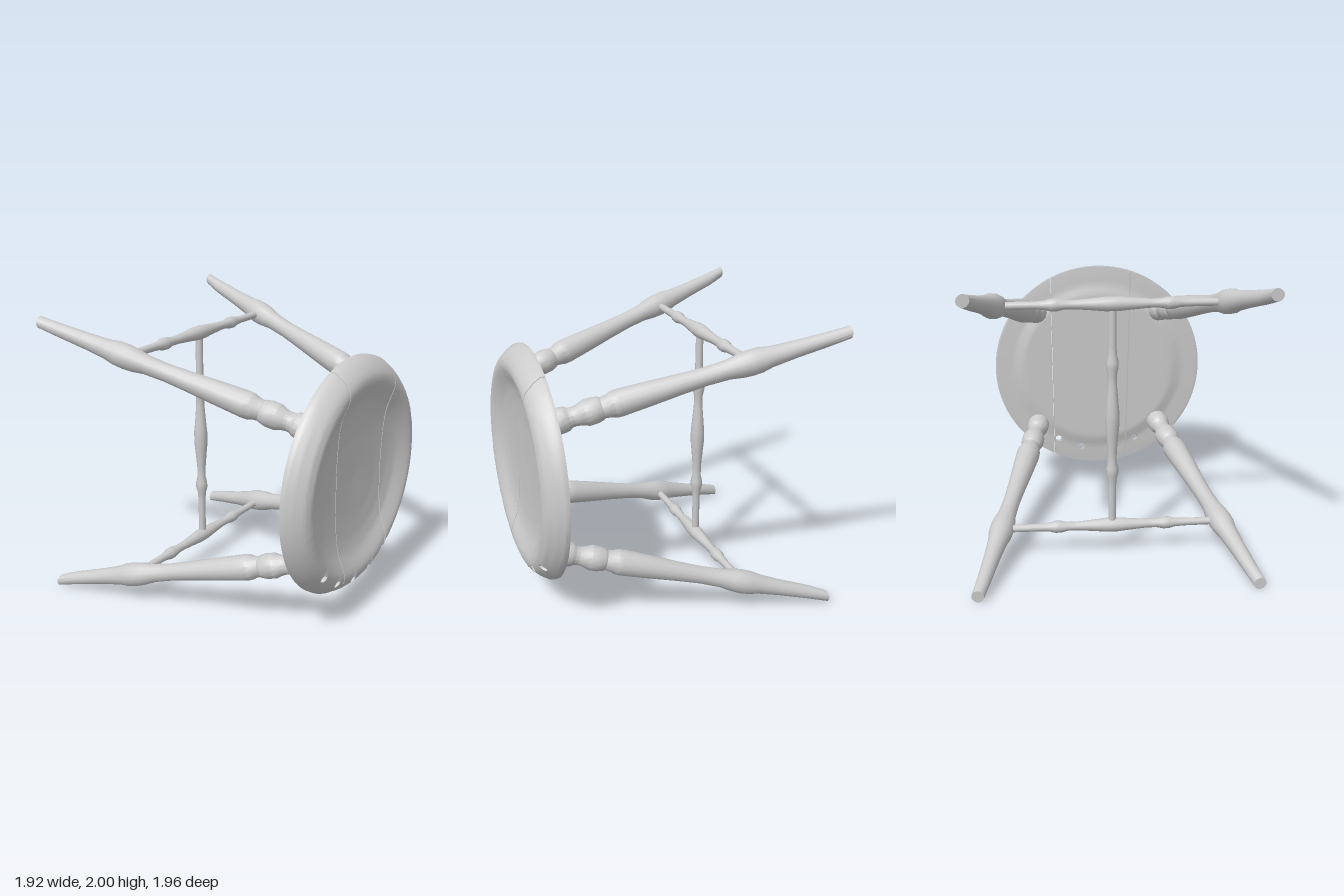
import * as THREE from 'three';
import { toCreasedNormals } from 'three/addons/utils/BufferGeometryUtils.js';

const material = new THREE.MeshStandardMaterial({ color: 0xcccccc });
const R = 0.81; // seat radius

// seat surfaces: [radius, z]
const FRONT = [[0, 0.888], [0.3, 0.895], [0.44, 0.906], [0.53, 0.924], [0.61, 0.96], [0.65, 0.976], [0.68, 0.98], [0.73, 0.962], [0.78, 0.91], [0.82, 0.845]];
const BACK = [[0, 0.8], [0.59, 0.8], [0.67, 0.822], [0.8, 0.828], [0.82, 0.834]];
const HOLES = [[-0.48, -0.525], [-0.3, -0.645], [-0.085, -0.705], [0.135, -0.71], [0.32, -0.635], [0.52, -0.525]];
const RING = [[1, 0], [1, 1], [0, 1], [-1, 1], [-1, 0], [-1, -1], [0, -1], [1, -1]];

function heightAt(profile, r) {
  let k = 1;
  while (k < profile.length - 1 && profile[k][0] < r) k++;
  const [r0, z0] = profile[k - 1], [r1, z1] = profile[k];
  return z0 + (z1 - z0) * (r - r0) / (r1 - r0);
}

// One plank of the round seat between two slightly slanted cuts, x = cut[0] + cut[1] * y
function plank(left, right, n, ease) {
  const m = 48, grid = [], dropped = new Set(), positions = [];
  for (let i = 0; i <= n; i++) {
    grid.push([]);
    for (let j = 0; j <= m; j++) {
      const u = ease(i / n), s = j / m * 2 - 1;
      let x = 0, y = 0;
      for (let k = 0; k < 6; k++) {
        x = THREE.MathUtils.lerp(left[0] + left[1] * y, right[0] + right[1] * y, u);
        y = Math.sqrt(Math.max(0, R * R - x * x)) * s;
      }
      grid[i].push([x, y]);
    }
  }
  // the back is eased inwards near the rim, so that the holes run at a slant
  const point = (i, j, profile) => {
    let [x, y] = grid[i][j];
    if (profile === BACK) {
      const r = Math.hypot(x, y);
      y *= 1 - 0.06 * Math.min(THREE.MathUtils.smoothstep(r, 0.3, 0.68), Math.max(0, (R - r) / 0.07));
    }
    return [x, y + 1, heightAt(profile, Math.hypot(x, y))];
  };
  const quad = (a, b, c, d) => positions.push(...a, ...b, ...c, ...a, ...c, ...d);
  const wall = ([i, j], [k, l]) =>
    quad(point(i, j, BACK), point(k, l, BACK), point(k, l, FRONT), point(i, j, FRONT));

  // open an eight-sided hole around the nearest grid point
  const rings = [];
  for (const [hx, hy] of HOLES) {
    let best = 0.03, at = null;
    for (let i = 1; i < n; i++) for (let j = 1; j < m; j++) {
      const d = Math.hypot(grid[i][j][0] - hx, grid[i][j][1] - hy);
      if (d < best) { best = d; at = [i, j]; }
    }
    if (!at) continue;
    const [ci, cj] = at;
    rings.push(RING.map(([di, dj]) => {
      const len = Math.hypot(di, dj);
      grid[ci + di][cj + dj] = [hx + 0.028 * di / len, hy + 0.028 * dj / len];
      return [ci + di, cj + dj];
    }));
    for (const i of [ci - 1, ci]) for (const j of [cj - 1, cj]) dropped.add(i * 100 + j);
  }
  // front and back faces
  for (let i = 0; i < n; i++) for (let j = 0; j < m; j++) {
    if (dropped.has(i * 100 + j)) continue;
    const corners = [[i, j], [i + 1, j], [i + 1, j + 1], [i, j + 1]];
    quad(...corners.map(c => point(...c, FRONT)));
    quad(...corners.reverse().map(c => point(...c, BACK)));
  }
  // edges and hole walls
  for (let i = 0; i < n; i++) {
    wall([i, 0], [i + 1, 0]);
    wall([i + 1, m], [i, m]);
  }
  for (let j = 0; j < m; j++) {
    wall([n, j], [n, j + 1]);
    wall([0, j + 1], [0, j]);
  }
  for (const ring of rings) ring.forEach((p, k) => wall(ring[(k + 1) % 8], p));

  const geometry = new THREE.BufferGeometry();
  geometry.setAttribute('position', new THREE.Float32BufferAttribute(positions, 3));
  return toCreasedNormals(geometry, 0.6);
}

function turned(profile, sides) {
  return new THREE.LatheGeometry(profile.map(([y, r]) => new THREE.Vector2(r, y)), sides);
}

// Turned leg: [z along the leg, radius], foot first
const LEG = [[-1.005, 0], [-1.005, 0.042], [-0.85, 0.047], [-0.65, 0.056], [-0.5, 0.068], [-0.44, 0.081], [-0.38, 0.084], [-0.32, 0.079],
  [-0.24, 0.064], [-0.1, 0.06], [0.05, 0.067], [0.25, 0.08], [0.42, 0.089], [0.455, 0.087], [0.49, 0.074], [0.525, 0.069],
  [0.535, 0.076], [0.575, 0.086], [0.625, 0.086], [0.665, 0.07], [0.7, 0.063], [0.725, 0.066], [0.745, 0.08], [0.78, 0.085], [0.86, 0.082], [0.86, 0]];

function leg(sx, sy) {
  const foot = new THREE.Vector3(0.912 * sx, 1 + 0.954 * sy, -0.98);
  const top = new THREE.Vector3(0.475 * sx, 1 + 0.455 * sy, 0.84);
  const axis = top.clone().sub(foot), length = axis.length();
  const geometry = turned(LEG.map(([z, r]) => [(z + 0.98) / 1.82 * length, r]), 14);
  geometry.applyQuaternion(new THREE.Quaternion().setFromUnitVectors(new THREE.Vector3(0, 1, 0), axis.normalize()));
  geometry.translate(foot.x, foot.y, foot.z);
  // trim the foot flat to the floor plane
  const p = geometry.attributes.position;
  for (let i = 0; i < p.count; i++) p.setZ(i, Math.max(p.getZ(i), -0.985));
  return toCreasedNormals(geometry, 0.5);
}

// Turned stretcher, mirrored about its middle bulge
function stretcher(half) {
  const side = [[half, 0.026], [0.5, 0.027], [0.44, 0.031], [0.4, 0.042], [0.36, 0.042], [0.31, 0.031], [0.24, 0.031], [0.12, 0.041], [0.04, 0.049]];
  return turned([...side.map(([y, r]) => [-y, r]), ...side.slice().reverse()], 12);
}

export function createModel() {
  const group = new THREE.Group();
  const add = (name, geometry) => {
    const mesh = new THREE.Mesh(geometry, material);
    mesh.name = name;
    group.add(mesh);
    return mesh;
  };

  // seat planks, separated by narrow gaps
  const g = 0.003;
  add('seatPlankRight', plank([-R, 0], [-0.238 - g, -0.022], 26, t => 1 - Math.cos(t * Math.PI / 2)));
  add('seatPlankMiddle', plank([-0.238 + g, -0.022], [0.36 - g, 0.007], 32, t => t));
  add('seatPlankLeft', plank([0.36 + g, 0.007], [R, 0], 24, t => Math.sin(t * Math.PI / 2)));

  // four splayed legs
  for (const sx of [1, -1]) for (const sy of [1, -1])
    add((sy > 0 ? 'upper' : 'lower') + (sx > 0 ? 'LeftLeg' : 'RightLeg'), leg(sx, sy));

  // two side stretchers joined by a middle one
  for (const sy of [1, -1]) {
    const bar = add(sy > 0 ? 'upperStretcher' : 'lowerStretcher', stretcher(0.76));
    bar.rotation.z = Math.PI / 2;
    bar.position.set(0, 1 + 0.79 * sy, -0.385);
  }
  add('middleStretcher', stretcher(0.79)).position.set(0, 1, -0.385);
  return group;
}
